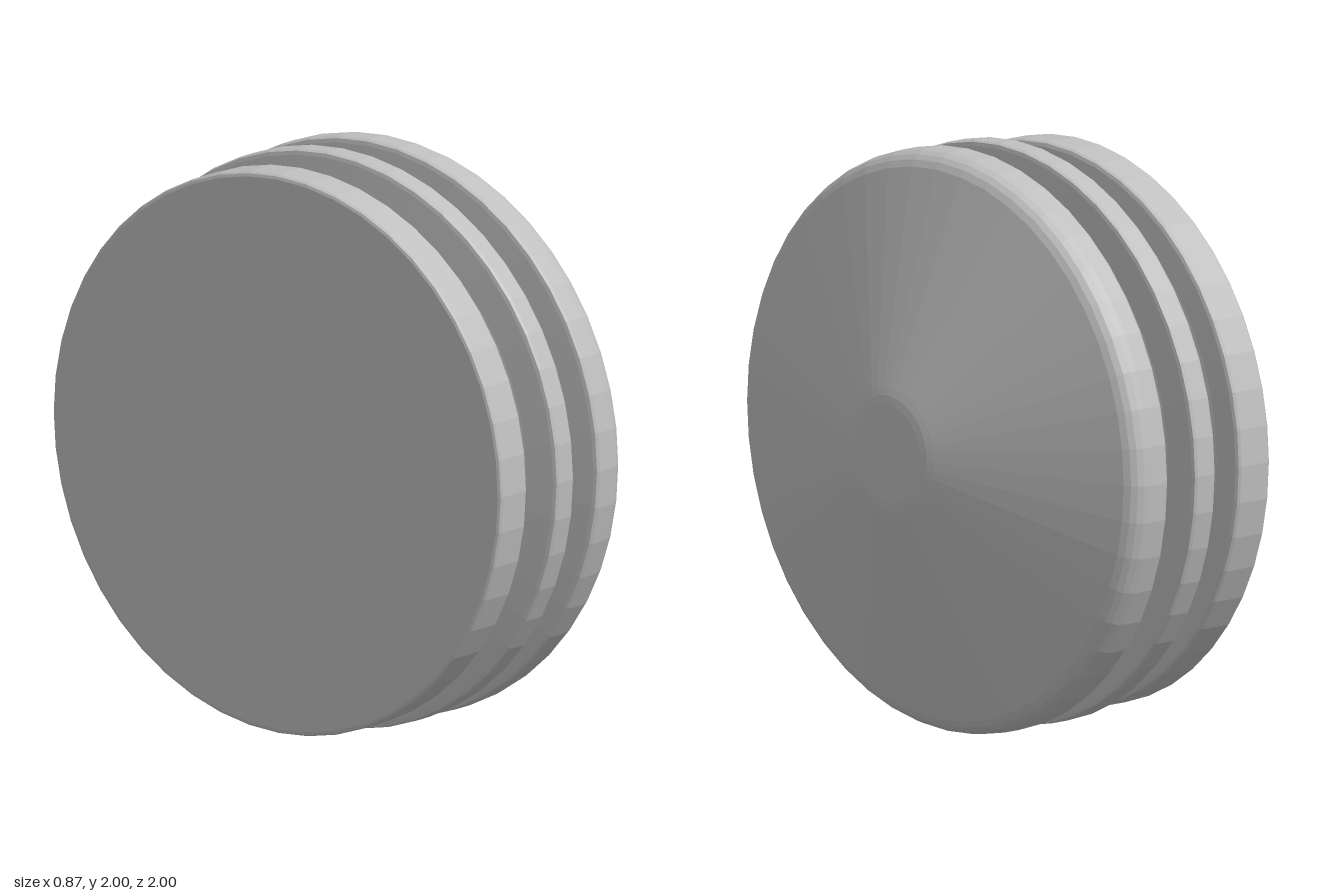
import * as THREE from 'three';

const SEGMENTS = 48;

export function createModel() {
  const group = new THREE.Group();
  group.name = 'groovedPlug';
  const grey = new THREE.MeshStandardMaterial({ color: 0xbfbfbf, flatShading: true });
  grey.name = 'light grey';

  // Each part is a stretch of the turned profile, as [position along x, radius]
  const turn = (name, profile) => {
    const points = profile.map(([x, r]) => new THREE.Vector2(r, x));
    const geometry = new THREE.LatheGeometry(points, SEGMENTS);
    geometry.rotateZ(-Math.PI / 2);
    const mesh = new THREE.Mesh(geometry, grey);
    mesh.name = name;
    mesh.position.y = 1;
    group.add(mesh);
  };

  // Rounded groove between two rims; its walls lean slightly outward
  const groove = (name, start, end, rStart, rEnd) => turn(name, [
    [start, rStart], [start + 0.01, 0.873], [start + 0.013, 0.858],
    [start + 0.021, 0.847], [start + 0.035, 0.842],
    [end - 0.035, 0.842], [end - 0.021, 0.847],
    [end - 0.013, 0.858], [end - 0.01, 0.873], [end, rEnd],
  ]);

  // Flat-backed rim, slightly smaller than the other two
  turn('backRim', [
    [-0.435, 0], [-0.435, 0.957], [-0.432, 0.967], [-0.424, 0.972],
    [-0.304, 0.972], [-0.295, 0.967], [-0.291, 0.955],
  ]);
  groove('backGroove', -0.291, -0.165, 0.955, 0.98);

  turn('middleRim', [
    [-0.165, 0.98], [-0.162, 0.993], [-0.152, 0.998],
    [-0.083, 0.998], [-0.073, 0.993], [-0.07, 0.98],
  ]);
  groove('frontGroove', -0.07, 0.052, 0.98, 0.98);

  // Wide rim with a rounded shoulder
  turn('frontRim', [
    [0.052, 0.98], [0.055, 0.994], [0.065, 1], [0.132, 1],
    [0.158, 0.996], [0.18, 0.986], [0.197, 0.97], [0.21, 0.947],
  ]);

  // Shallow cone with a blunt tip
  turn('coneNose', [
    [0.21, 0.947], [0.424, 0.225], [0.431, 0.198], [0.435, 0.17], [0.435, 0],
  ]);

  return group;
}
